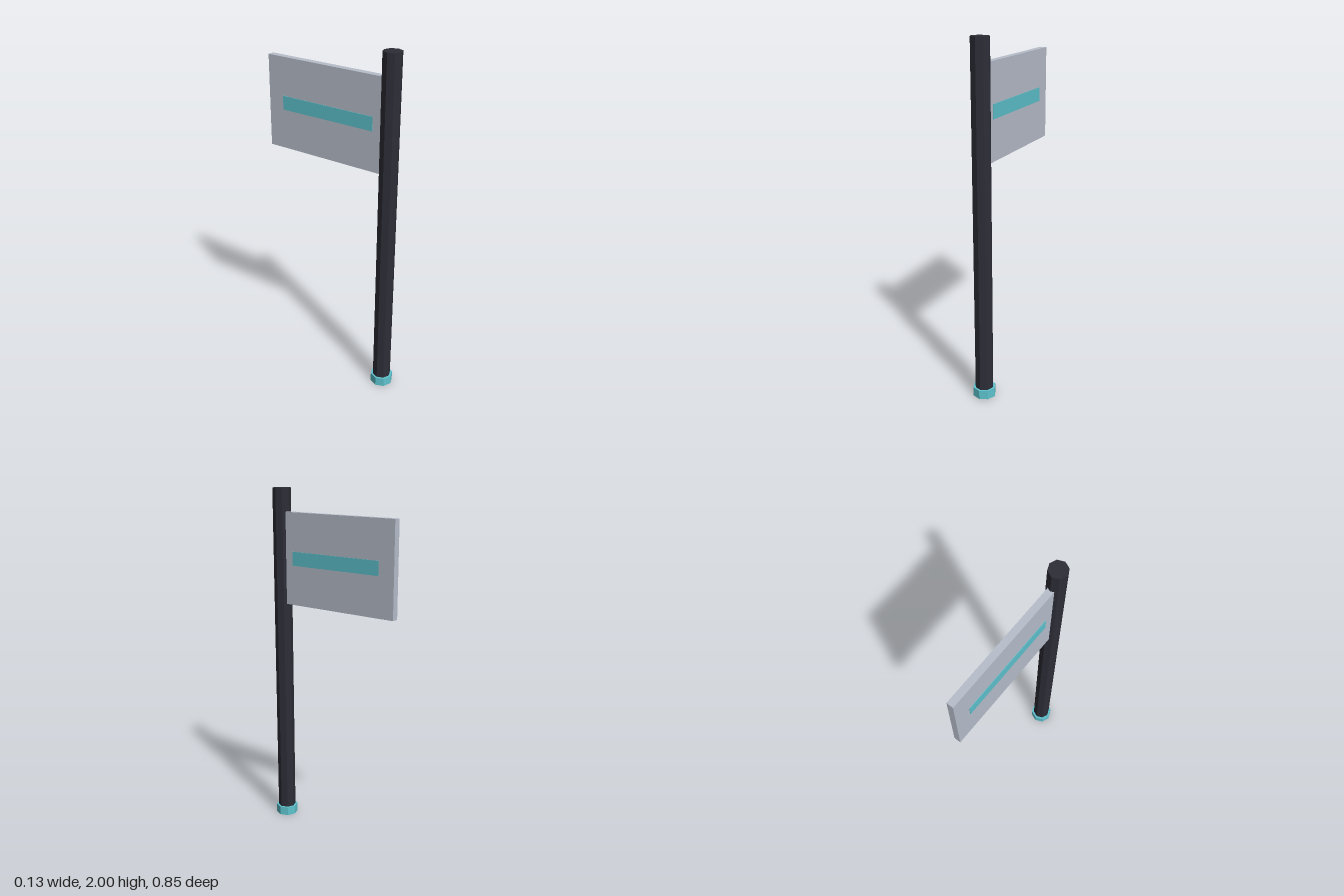
import * as THREE from 'three';

export function createModel() {
  const group = new THREE.Group();
  group.name = 'signPost';

  const material = (name, color, flatShading = true) => {
    const m = new THREE.MeshStandardMaterial({ color, flatShading });
    m.name = name;
    return m;
  };
  const dark = material('dark pole', 0x2d2d37);
  const teal = material('teal accent', 0x5dc2cd);
  const grey = material('pale grey board', 0xb7becb);

  const add = (name, geometry, mat, x, y, z) => {
    const mesh = new THREE.Mesh(geometry, mat);
    mesh.name = name;
    mesh.position.set(x, y, z);
    group.add(mesh);
  };

  // Octagonal pole and its foot collar
  const poleZ = 0.36;
  add('pole', new THREE.CylinderGeometry(0.052, 0.052, 2, 8), dark, 0, 1, poleZ);
  add('footCollar', new THREE.CylinderGeometry(0.065, 0.065, 0.052, 8), teal, 0, 0.026, poleZ);

  // Board projecting backward from the pole
  add('signBoard', new THREE.BoxGeometry(0.039, 0.525, 0.745), grey, 0, 1.606, -0.0535);

  // Thin stripe on each face of the board
  for (const side of [-1, 1]) {
    add(side > 0 ? 'leftStripe' : 'rightStripe',
      new THREE.BoxGeometry(0.006, 0.079, 0.594), teal, side * 0.0192, 1.61, -0.032);
  }

  return group;
}
